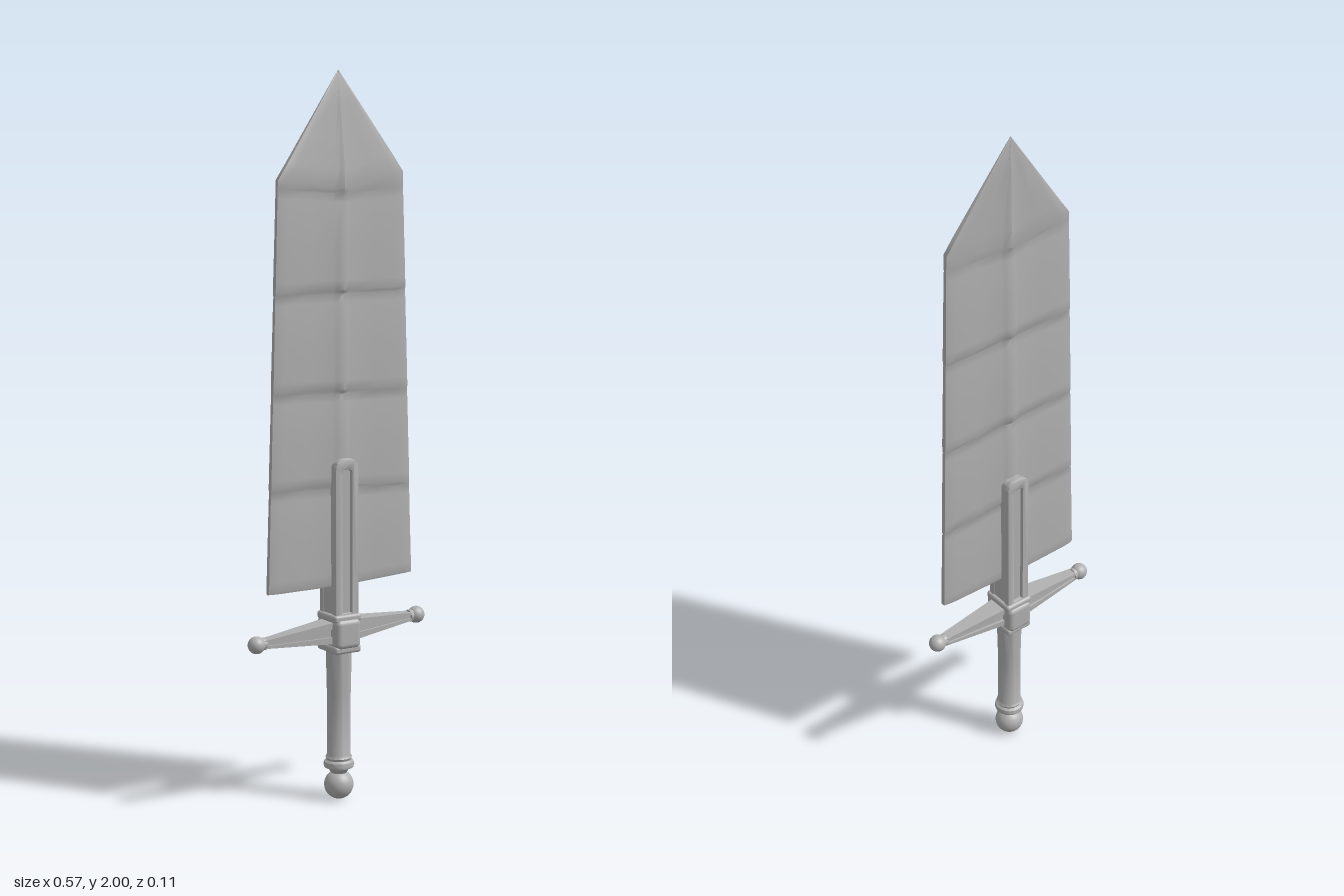
import * as THREE from 'three';
import { toCreasedNormals } from 'three/addons/utils/BufferGeometryUtils.js';
import { RoundedBoxGeometry } from 'three/addons/geometries/RoundedBoxGeometry.js';

const steel = new THREE.MeshStandardMaterial({ color: 0xb0b0b0 });
steel.name = 'grey steel';

function add(group, name, geometry, x = 0, y = 0, z = 0) {
  const mesh = new THREE.Mesh(geometry, steel);
  mesh.name = name;
  mesh.position.set(x, y, z);
  group.add(mesh);
  return mesh;
}

// Blade: closed cross-sections lofted upward, with overlapping panels and a central ridge
function bladeGeometry() {
  const columns = [[-1, 0.6], [-0.95, 0.85], [-0.85, 1], [-0.5, 1], [-0.14, 0.95], [-0.08, 1.25], [0, 1.75],
    [0.08, 1.25], [0.14, 0.95], [0.5, 1], [0.85, 1], [0.95, 0.85], [1, 0.6]];
  // Panel seams: height at left edge, centre and right edge
  const seams = [[0.605, 0.605, 0.617], [0.885, 0.88, 0.868], [1.145, 1.14, 1.137],
    [1.408, 1.41, 1.41], [1.69, 1.675, 1.69]];
  const rows = [];
  const lerp = THREE.MathUtils.lerp;
  const mix = (a, b, t) => a.map((v, i) => lerp(v, b[i], t));
  rows.push({ y: seams[0], h: 0 });
  for (let i = 0; i < 4; i++) {
    for (const [t, h] of [[0.004, 0.0095], [0.025, 0.0115], [0.12, 0.012], [0.5, 0.0105], [0.9, 0.0095], [0.985, 0.0075]]) {
      rows.push({ y: mix(seams[i], seams[i + 1], t), h });
    }
  }
  // Pointed end
  const base = [1.71, 1.685, 1.73];
  rows.push({ y: seams[4], h: 0.0085 });
  for (const [t, h] of [[0, 0.0115], [0.15, 0.011], [0.4, 0.008], [0.7, 0.0045], [0.998, 0.0004], [0.999, 0]]) {
    rows.push({ y: mix(base, [2, 2, 2], t), h, tip: t });
  }
  const pos = [], index = [], n = columns.length * 2;
  for (const { y, h, tip = 0 } of rows) {
    for (let j = 0; j < n; j++) {
      const front = j < columns.length;
      const [s, f] = columns[front ? j : n - 1 - j];
      const py = lerp(y[1], s < 0 ? y[0] : y[2], Math.abs(s));
      const k = (py - 0.605) / 1.11;
      let x = s < 0 ? s * lerp(0.23, 0.201, k) : s * lerp(0.237, 0.199, k);
      x += lerp(0.002, 0.007, Math.min(k, 1));
      if (tip) x = lerp(s < 0 ? s * 0.202 : s * 0.198, 0, tip) + 0.009;
      const bend = 0.002 - s * 0.004 * (1 - tip) - 0.016 * tip;
      pos.push(x, py, bend + (front ? 1 : -1) * h * f);
    }
  }
  for (let i = 0; i < rows.length - 1; i++) {
    for (let j = 0; j < n; j++) {
      const a = i * n + j, b = i * n + (j + 1) % n;
      index.push(a, b, b + n, a, b + n, a + n);
    }
  }
  const g = new THREE.BufferGeometry();
  g.setAttribute('position', new THREE.Float32BufferAttribute(pos, 3));
  g.setIndex(index);
  return toCreasedNormals(g, 0.7);
}

// Upright shape with an arched top
function arch(Type, w, bottom, top) {
  const s = new Type();
  s.moveTo(-w, bottom);
  s.lineTo(w, bottom);
  s.lineTo(w, top - w * 0.8);
  s.quadraticCurveTo(w, top, 0, top);
  s.quadraticCurveTo(-w, top, -w, top - w * 0.8);
  s.closePath();
  return s;
}

// Box narrowing along x from the hub to the outer end
function taperedBar(length, inner, outer) {
  const g = new THREE.BoxGeometry(length, 1, 1);
  const p = g.attributes.position;
  for (let i = 0; i < p.count; i++) {
    const end = p.getX(i) > 0 ? outer : inner;
    const [low, high, depth] = end;
    p.setXYZ(i, p.getX(i) + length / 2, p.getY(i) > 0 ? high : low, p.getZ(i) * depth);
  }
  g.computeVertexNormals();
  return g;
}

function crossArm(name, side) {
  const arm = new THREE.Group();
  arm.name = name;
  const L = 0.225;
  add(arm, 'armCore', taperedBar(L, [-0.024, 0.024, 0.046], [-0.008, 0.008, 0.018]));
  add(arm, 'upperRail', taperedBar(L, [0.012, 0.031, 0.062], [0.004, 0.011, 0.028]));
  add(arm, 'lowerRail', taperedBar(L, [-0.031, -0.012, 0.062], [-0.011, -0.004, 0.028]));
  const collar = add(arm, 'armCollar', new THREE.CylinderGeometry(0.017, 0.017, 0.012, 20), L - 0.002);
  collar.rotation.z = Math.PI / 2;
  add(arm, 'armKnob', new THREE.SphereGeometry(0.024, 24, 16), L + 0.018);
  // The left arm sits slightly higher and farther back
  arm.position.set(side * 0.02, 0.481, 0);
  if (side < 0) arm.rotation.y = Math.PI;
  const tilt = new THREE.Group();
  tilt.name = name + 'Mount';
  tilt.add(arm);
  return tilt;
}

export function createModel() {
  const sword = new THREE.Group();
  sword.name = 'sword';

  add(sword, 'blade', bladeGeometry());

  // Clasp holding the blade: core plus raised rims front and back
  const core = new THREE.ExtrudeGeometry(arch(THREE.Shape, 0.034, 0.5, 0.958),
    { depth: 0.064, bevelEnabled: false, curveSegments: 12 });
  add(sword, 'bladeClasp', toCreasedNormals(core, 0.6), 0.003, 0, -0.032);
  const rimShape = arch(THREE.Shape, 0.033, 0.5, 0.958);
  rimShape.holes.push(arch(THREE.Path, 0.019, 0.53, 0.935));
  const rim = toCreasedNormals(new THREE.ExtrudeGeometry(rimShape, {
    depth: 0.012, bevelEnabled: true, bevelThickness: 0.004, bevelSize: 0.004, bevelSegments: 2, curveSegments: 12,
  }), 0.6);
  for (const side of [1, -1]) {
    const mesh = add(sword, side > 0 ? 'frontClaspRim' : 'backClaspRim', rim, 0.003, 0, side * 0.027);
    if (side < 0) mesh.rotation.y = Math.PI;
  }

  // Crossguard
  const guard = new THREE.Group();
  guard.name = 'crossguard';
  add(guard, 'guardHub', new RoundedBoxGeometry(0.08, 0.085, 0.112, 4, 0.016), 0.003, 0.477, 0);
  add(guard, 'upperHubCollar', new RoundedBoxGeometry(0.086, 0.022, 0.1, 3, 0.008), 0.003, 0.52, 0);
  add(guard, 'lowerHubCollar', new RoundedBoxGeometry(0.084, 0.022, 0.1, 3, 0.008), 0.003, 0.433, 0);
  const arms = new THREE.Group();
  arms.name = 'crossArms';
  arms.add(crossArm('leftArm', 1), crossArm('rightArm', -1));
  arms.position.y = 0.481;
  arms.children.forEach((c) => { c.position.y = -0.481; });
  arms.rotation.set(0, 0.018, 0.035);
  guard.add(arms);
  sword.add(guard);

  // Grip with its ringed foot
  const grip = [[0, 0.075], [0.022, 0.075], [0.03, 0.088], [0.041, 0.092], [0.043, 0.1], [0.041, 0.108],
    [0.034, 0.113], [0.037, 0.12], [0.033, 0.128], [0.033, 0.3], [0.036, 0.43], [0, 0.43]];
  add(sword, 'grip', toCreasedNormals(
    new THREE.LatheGeometry(grip.map(([x, y]) => new THREE.Vector2(x, y)), 32), 0.7), 0.002);
  add(sword, 'pommel', new THREE.SphereGeometry(0.041, 32, 20), 0.002, 0.041, 0);

  return sword;
}
